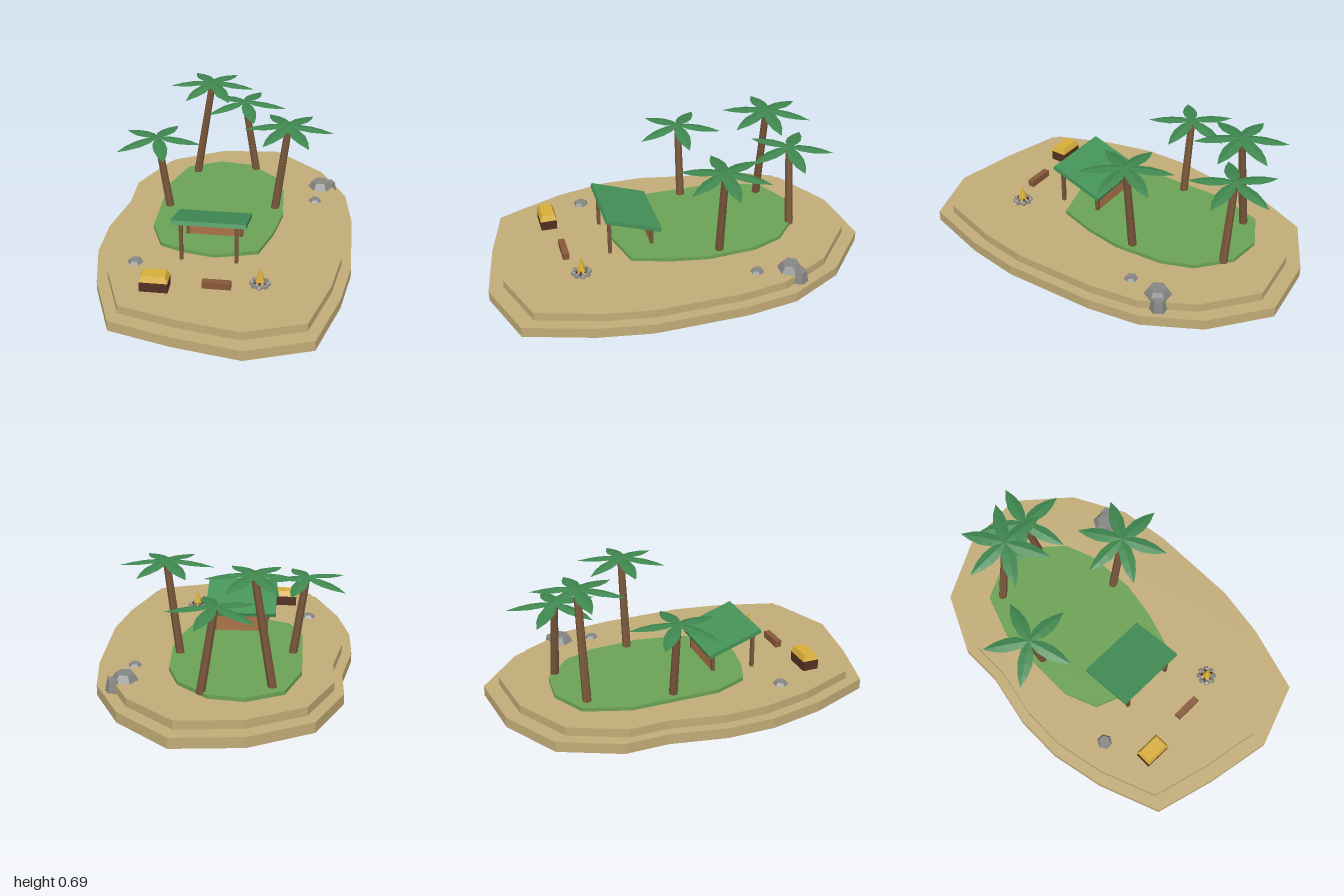
import * as THREE from 'three';

const mat = (name, color, side = THREE.FrontSide) => {
  const m = new THREE.MeshStandardMaterial({ color, side });
  m.name = name;
  return m;
};

export function createModel() {
  const M = {
    sand: mat('sand', 0xc2ac78),
    grass: mat('grass', 0x6ca255),
    trunk: mat('trunk wood', 0x785739),
    leaf: mat('palm leaf', 0x3f874f, THREE.DoubleSide),
    roof: mat('roof green', 0x459359),
    wall: mat('wall wood', 0xaa7248),
    plank: mat('bench wood', 0x87583a),
    dark: mat('dark wood', 0x553022),
    gold: mat('gold', 0xd8ae3a),
    rock: mat('rock', 0x868684),
  };
  const root = new THREE.Group();
  root.name = 'island';

  // faceted mesh helper
  const add = (name, geo, material, x = 0, y = 0, z = 0, parent = root) => {
    const g = geo.index ? geo.toNonIndexed() : geo;
    g.computeVertexNormals();
    const m = new THREE.Mesh(g, material);
    m.name = name;
    m.position.set(x, y, z);
    parent.add(m);
    return m;
  };
  const box = (name, material, w, h, d, x, y, z, parent) =>
    add(name, new THREE.BoxGeometry(w, h, d), material, x, y, z, parent);

  // flat slab from a ground outline of [x, z] points
  const slab = (name, material, pts, scale, y, h) => {
    const shape = new THREE.Shape(pts.map(([x, z]) => new THREE.Vector2(x * scale, -z * scale)));
    const g = new THREE.ExtrudeGeometry(shape, { depth: h, bevelEnabled: false });
    add(name, g.rotateX(-Math.PI / 2), material, 0, y, 0);
  };

  // round bar between two points
  const bar = (name, material, a, b, rTop, rBottom, sides, parent) => {
    const p = new THREE.Vector3(...a), q = new THREE.Vector3(...b);
    const dir = q.clone().sub(p);
    const m = add(name, new THREE.CylinderGeometry(rTop, rBottom, dir.length(), sides), material, 0, 0, 0, parent);
    m.position.copy(p).add(q).multiplyScalar(0.5);
    m.quaternion.setFromUnitVectors(new THREE.Vector3(0, 1, 0), dir.normalize());
    return m;
  };

  // ground layers
  const shore = [
    [0.19, -1], [-0.16, -0.965], [-0.465, -0.8], [-0.605, -0.5], [-0.603, -0.28], [-0.66, 0.01],
    [-0.66, 0.26], [-0.6, 0.54], [-0.475, 0.855], [-0.16, 0.94], [0.18, 1], [0.505, 0.885],
    [0.61, 0.54], [0.655, 0.26], [0.648, -0.22], [0.608, -0.49], [0.46, -0.77],
  ];
  const meadow = [
    [-0.14, -0.71], [-0.32, -0.62], [-0.4, -0.39], [-0.4, -0.1], [-0.4, 0.07], [-0.33, 0.24],
    [-0.2, 0.29], [-0.04, 0.32], [0.18, 0.26], [0.24, 0.07], [0.275, -0.13], [0.26, -0.39],
    [0.2, -0.55], [0.04, -0.69],
  ];
  slab('lowerBeach', M.sand, shore, 1, 0, 0.055);
  slab('upperBeach', M.sand, shore, 0.922, 0.055, 0.045);
  slab('meadow', M.grass, meadow, 1, 0.1, 0.02);

  // drooping, slightly folded leaf blade pointing along +x
  const halfWidths = [0.008, 0.033, 0.038, 0.026, 0.001];
  const frond = () => {
    const g = new THREE.PlaneGeometry(0.236, 2, 4, 2).rotateX(-Math.PI / 2);
    const p = g.attributes.position;
    for (let i = 0; i < p.count; i++) {
      const x = p.getX(i) + 0.118, t = x / 0.236, side = p.getZ(i);
      const w = halfWidths[Math.round(t * 4)];
      p.setXYZ(i, x, -0.035 * t * t - 0.25 * w * Math.abs(side), side * w);
    }
    return g;
  };

  // palms: base x, top x, top y, z, number of fronds
  const palms = [
    [-0.35, -0.41, 0.525, -0.155, 5],
    [-0.262, -0.17, 0.68, -0.577, 6],
    [0.078, 0.008, 0.54, -0.647, 5],
    [0.225, 0.288, 0.612, -0.2, 6],
  ];
  for (const [bx, tx, ty, z, n] of palms) {
    const palm = new THREE.Group();
    palm.name = 'palm';
    root.add(palm);
    bar('palmTrunk', M.trunk, [bx, 0.105, z], [tx, ty, z], 0.019, 0.023, 7, palm);
    for (let i = 0; i < n; i++) {
      add('palmFrond', frond(), M.leaf, tx, ty + 0.008, z, palm).rotation.y = (i * 2 * Math.PI) / n;
    }
  }

  // lean-to hut, open and higher at the front
  const hut = new THREE.Group();
  hut.name = 'hut';
  root.add(hut);
  for (const x of [-0.203, 0.077]) {
    box('frontPost', M.trunk, 0.018, 0.215, 0.018, x, 0.2075, 0.35, hut);
    box('rearPost', M.trunk, 0.018, 0.135, 0.018, x, 0.1675, 0.125, hut);
  }
  box('backWall', M.wall, 0.28, 0.125, 0.014, -0.063, 0.1625, 0.125, hut);
  box('roof', M.roof, 0.38, 0.022, 0.305, -0.063, 0.274, 0.229, hut).rotation.x = -0.335;

  // treasure chest with a bevelled lid
  const chest = new THREE.Group();
  chest.name = 'chest';
  root.add(chest);
  box('chestBase', M.dark, 0.14, 0.055, 0.085, -0.289, 0.1275, 0.619, chest);
  const lid = new THREE.BoxGeometry(0.142, 0.031, 0.09);
  const lp = lid.attributes.position;
  for (let i = 0; i < lp.count; i++) {
    if (lp.getY(i) > 0) {
      lp.setX(i, lp.getX(i) * 0.82);
      lp.setZ(i, lp.getZ(i) * 0.72);
    }
  }
  add('chestLid', lid, M.gold, -0.289, 0.1695, 0.619, chest);

  // bench
  box('bench', M.plank, 0.142, 0.036, 0.034, 0.008, 0.118, 0.582);

  // campfire
  const fire = new THREE.Group();
  fire.name = 'campfire';
  fire.position.set(0.215, 0.1, 0.53);
  root.add(fire);
  for (let i = 0; i < 8; i++) {
    const a = (i * Math.PI) / 4;
    add('fireStone', new THREE.DodecahedronGeometry(0.015), M.rock,
      Math.cos(a) * 0.039, 0.005, Math.sin(a) * 0.039, fire).rotation.y = a;
  }
  for (let i = 0; i < 5; i++) {
    const a = (i * Math.PI * 2) / 5 + 0.3, c = Math.cos(a), s = Math.sin(a);
    bar('fireLog', M.dark, [c * 0.034, 0.008, s * 0.034], [-c * 0.008, 0.04, -s * 0.008], 0.007, 0.007, 5, fire);
  }
  add('flame', new THREE.ConeGeometry(0.025, 0.078, 6), M.gold, 0, 0.059, 0, fire);

  // rocks: x, base y, z, radius, top radius, height
  const rocks = [
    [0.463, 0.1, -0.507, 0.069, 0.045, 0.037],
    [0.51, 0.055, -0.54, 0.046, 0.034, 0.06],
    [0.44, 0.1, -0.335, 0.036, 0.026, 0.013],
    [-0.43, 0.1, 0.405, 0.041, 0.029, 0.015],
  ];
  for (const [x, y, z, r, rt, h] of rocks) {
    add('rock', new THREE.CylinderGeometry(rt, r, h, 6), M.rock, x, y + h / 2, z).rotation.y = Math.PI / 6;
  }
  return root;
}
